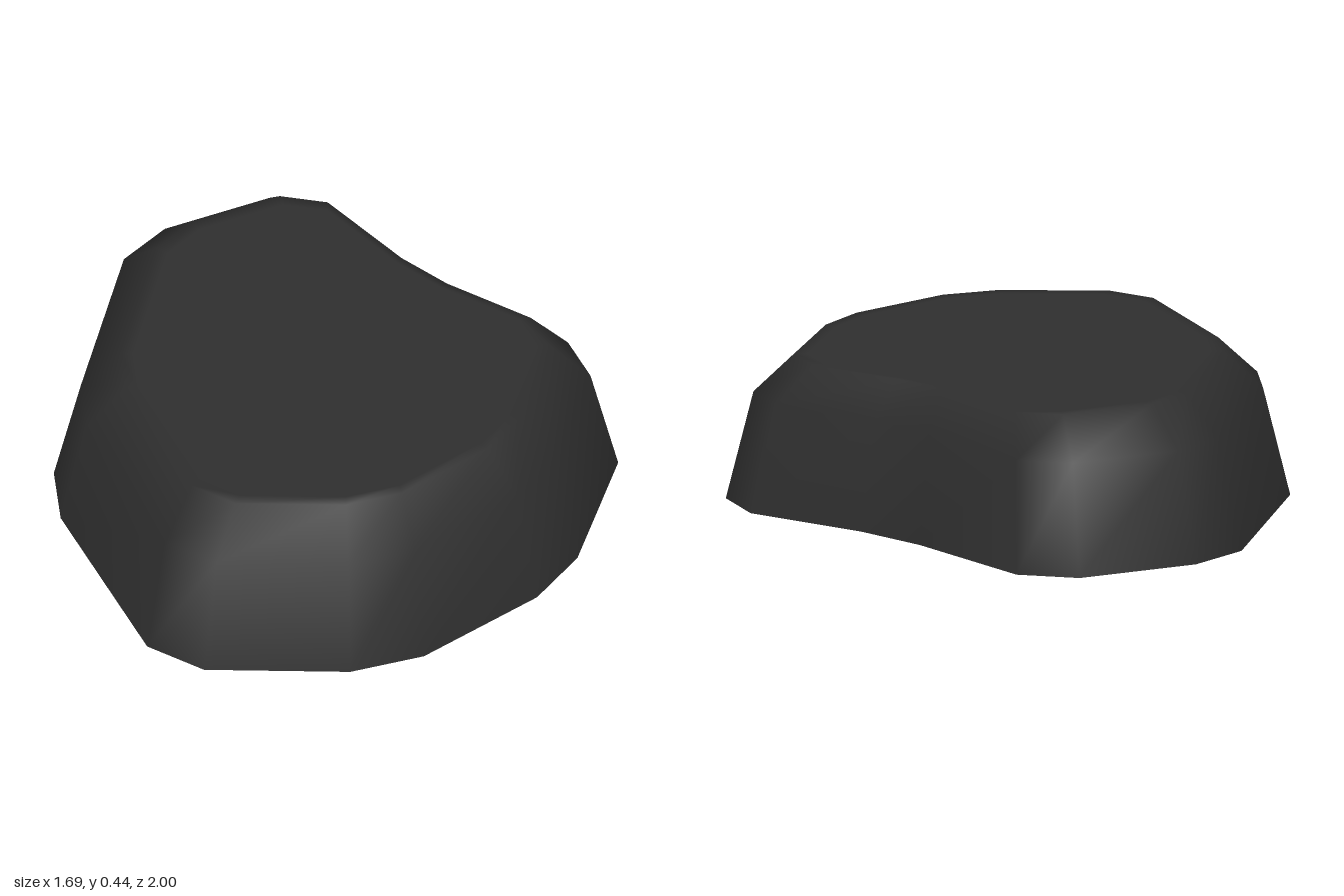
import * as THREE from 'three';

// Base outline as [x, z], clockwise seen from above
const OUTLINE = [
  [-0.05, -1], [0.13, -0.93], [0.36, -0.53], [0.51, -0.34],
  [0.80, -0.07], [0.845, 0.12], [0.65, 0.56], [0.50, 0.73],
  [0.12, 0.96], [-0.11, 1], [-0.54, 0.92], [-0.69, 0.78],
  [-0.845, 0.12], [-0.83, -0.10], [-0.58, -0.75], [-0.42, -0.89],
];

// Cross-sections as [height, scale]: base, shoulder, top rim, flat top
const RINGS = [[0, 1], [0.33, 0.903], [0.445, 0.76], [0.445, 0.72]];

function rockGeometry() {
  const n = OUTLINE.length;
  const positions = [];
  const index = [];
  for (const [y, s] of RINGS) {
    for (const [x, z] of OUTLINE) positions.push(x * s, y, z * s);
  }
  // Walls and bevel between neighbouring rings
  for (let r = 0; r < RINGS.length - 1; r++) {
    for (let i = 0; i < n; i++) {
      const a = r * n + i;
      const b = r * n + (i + 1) % n;
      index.push(a, a + n, b, b, a + n, b + n);
    }
  }
  // Flat cap; the underside stays open
  const centre = positions.length / 3;
  const last = (RINGS.length - 1) * n;
  positions.push(0, RINGS[RINGS.length - 1][0], 0);
  for (let i = 0; i < n; i++) index.push(last + i, centre, last + (i + 1) % n);

  const geometry = new THREE.BufferGeometry();
  geometry.setAttribute('position', new THREE.Float32BufferAttribute(positions, 3));
  geometry.setIndex(index);
  geometry.computeVertexNormals();
  return geometry;
}

export function createModel() {
  const group = new THREE.Group();
  group.name = 'flatRock';
  const stone = new THREE.MeshStandardMaterial({ color: 0x2e2e2e, side: THREE.DoubleSide });
  stone.name = 'dark stone';
  const rock = new THREE.Mesh(rockGeometry(), stone);
  rock.name = 'rockShell';
  group.add(rock);
  return group;
}
